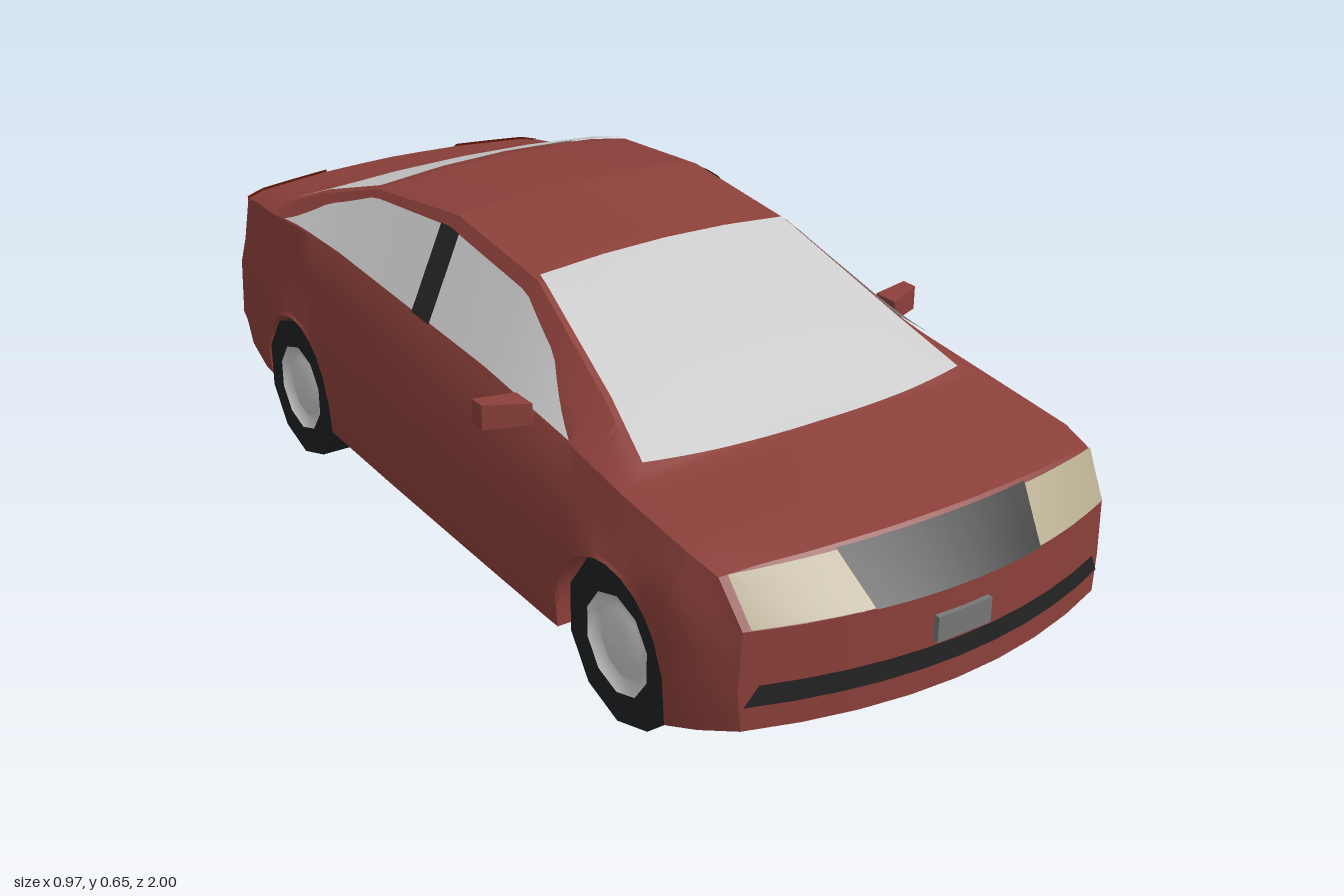
import * as THREE from 'three';
import { mergeGeometries, toCreasedNormals } from 'three/addons/utils/BufferGeometryUtils.js';

const { lerp, clamp } = THREE.MathUtils;
const paint = (color, extra = {}) => new THREE.MeshStandardMaterial({ color, ...extra });
const thin = { side: THREE.DoubleSide };

// Cross-section keys, front to back:
// z, underside y, body half-width, belt half-width, belt y, roof-edge half-width, roof-edge y, centre y
const KEYS = [
  [0.99, 0.12, 0.39, 0.385, 0.3, 0.3, 0.3, 0.3],
  [0.91, 0.105, 0.43, 0.395, 0.375, 0.33, 0.383, 0.39],
  [0.8, 0.088, 0.45, 0.405, 0.39, 0.35, 0.4, 0.408],
  [0.61, 0.11, 0.453, 0.405, 0.41, 0.36, 0.42, 0.43],
  [0.45, 0.11, 0.455, 0.4, 0.43, 0.325, 0.487, 0.505],
  [0.16, 0.11, 0.452, 0.395, 0.45, 0.28, 0.6, 0.615],
  [-0.13, 0.11, 0.448, 0.395, 0.465, 0.275, 0.633, 0.65],
  [-0.42, 0.11, 0.442, 0.39, 0.48, 0.295, 0.605, 0.625],
  [-0.6, 0.12, 0.437, 0.39, 0.485, 0.33, 0.55, 0.565],
  [-0.75, 0.125, 0.43, 0.388, 0.475, 0.36, 0.49, 0.5],
  [-0.87, 0.14, 0.415, 0.375, 0.465, 0.34, 0.478, 0.487],
  [-0.94, 0.165, 0.4, 0.37, 0.455, 0.33, 0.465, 0.475],
  [-0.958, 0.185, 0.398, 0.36, 0.43, 0.31, 0.44, 0.45],
  [-0.965, 0.19, 0.395, 0.385, 0.315, 0.33, 0.32, 0.325],
  [-0.99, 0.225, 0.375, 0.365, 0.305, 0.31, 0.305, 0.305],
];
const AXLES = [0.64, -0.56], ARCH = 0.155, WHEEL_R = 0.15;

// Piecewise-linear lookup in rows sorted by falling z
function lookup(rows, z) {
  let i = 0;
  while (i < rows.length - 2 && z < rows[i + 1][0]) i++;
  const a = rows[i], b = rows[i + 1];
  const t = clamp((z - a[0]) / (b[0] - a[0]), 0, 1);
  return a.map((v, k) => lerp(v, b[k], t));
}

// Rounds the nose and tail in plan
function bend(z, x) {
  const t = clamp((Math.abs(z) - 0.8) / 0.19, 0, 1);
  return z > 0 ? z - 0.5 * t * x * x : z + 0.3 * t * x * x;
}

// Half cross-section, from the centre of the underside to the centre of the top
function section(z) {
  let [, yb, w, bw, by, rw, ry, ty] = lookup(KEYS, z);
  for (const c of AXLES) {
    const d = Math.abs(z - c);
    if (d <= ARCH + 1e-6) yb = WHEEL_R + Math.sqrt(Math.max(0, ARCH * ARCH - d * d));
  }
  return [[0, yb], [w - 0.006, yb], [w, Math.max(yb + 0.002, 0.19)],
    [w * 0.988, Math.min(0.31, by - 0.01)], [bw, by], [rw, ry],
    [rw / 2, lerp(ry, ty, 0.75)], [0, ty]];
}

// Point on the body skin: v runs 0 (underside) to 7 (top centre)
function skin(z, v, side = 1, dx = 0, dy = 0, dz = 0) {
  const s = section(z), i = Math.min(6, Math.floor(v)), t = v - i;
  const x = lerp(s[i][0], s[i + 1][0], t), y = lerp(s[i][1], s[i + 1][1], t);
  return [side * (x + dx), y + dy, bend(z, x) + dz];
}

// Grid surface through f(i, j)
function grid(nu, nv, f) {
  const pos = [], idx = [], row = nv + 1;
  for (let i = 0; i <= nu; i++) for (let j = 0; j <= nv; j++) pos.push(...f(i, j));
  for (let i = 0; i < nu; i++) for (let j = 0; j < nv; j++) {
    const a = i * row + j, b = a + row;
    idx.push(a, b, a + 1, b, b + 1, a + 1);
  }
  const g = new THREE.BufferGeometry();
  g.setAttribute('position', new THREE.Float32BufferAttribute(pos, 3));
  g.setIndex(idx);
  g.computeVertexNormals();
  return g;
}

function bodyGeometry() {
  const zs = KEYS.map((k) => k[0]);
  for (let z = 0.42; z > -0.4; z -= 0.06) zs.push(z);
  for (const c of AXLES) {
    for (let i = 0; i <= 12; i++) zs.push(c + ARCH * Math.cos((i / 12) * Math.PI));
    zs.push(c + ARCH + 0.0002, c - ARCH - 0.0002);
  }
  zs.sort((a, b) => b - a);
  const shell = grid(zs.length - 1, 28, (i, j) => {
    const v = j / 2;
    return v <= 7 ? skin(zs[i], v) : skin(zs[i], 14 - v, -1);
  });
  const cap = (z, dir) => grid(8, 6, (i, j) => {
    const [x, y] = skin(z, 1 + j / 2), px = x * dir * (i / 4 - 1);
    return [px, y, bend(z, px)];
  });
  return toCreasedNormals(mergeGeometries([shell, cap(0.99, 1), cap(-0.99, -1)]), 0.5);
}

export function createModel() {
  const car = new THREE.Group();
  car.name = 'car';
  const red = paint(0x8c403a), glass = paint(0xcccccc, thin), black = paint(0x242424, thin);
  const lamp = paint(0xb3a98c, thin), tail = paint(0x8a2408, thin), plate = paint(0x777777);
  const add = (name, geo, mat, parent = car) => {
    const m = new THREE.Mesh(geo, mat);
    m.name = name;
    parent.add(m);
    return m;
  };

  add('body', bodyGeometry(), red);

  // Front and rear screens follow the skin between the roof edges
  const screen = (name, z0, bow0, z1, bow1) => add(name, grid(16, 20, (i, j) => {
    const s = j / 10 - 1;
    const z = lerp(z0 + bow0 * s * s, z1 + bow1 * s * s, i / 16);
    return skin(z, 7 - 1.94 * Math.abs(s), Math.sign(s) || 1, 0, 0.006);
  }), glass);
  screen('windscreen', 0.62, -0.035, 0.155, 0);
  screen('rearWindow', -0.425, 0, -0.745, 0.015);

  // Upper edge of the side glass, as a share of the belt-to-roof height
  const WINDOW = [[0.45, 0.06], [0.3, 0.72], [0.16, 0.85], [-0.13, 0.87],
    [-0.4, 0.88], [-0.55, 0.72], [-0.67, 0.06]];
  for (const side of [1, -1]) {
    const tag = side > 0 ? 'left' : 'right';
    add(tag + 'SideWindow', grid(40, 4, (i, j) => {
      const z = lerp(0.45, -0.67, i / 40);
      return skin(z, 4 + lerp(0.05, lookup(WINDOW, z)[1], j / 4), side, 0.005, 0.004);
    }), glass);
    add(tag + 'DoorPillar', grid(2, 4, (i, j) =>
      skin(lerp(-0.035, -0.088, j / 4) - 0.033 * i, 4 + lerp(0.04, 0.88, j / 4), side, 0.009, 0.006)), black);
    add(tag + 'TailLight', grid(8, 2, (i, j) =>
      skin(lerp(-0.936, -0.959, j / 2), lerp(4.05, 6, i / 8), side, 0.002, 0.004, -0.005)), tail);
  }

  // Panels on the nose: x runs between edges that may lean, y between two heights
  const nosePanel = (name, mat, y0, y1, l0, r0, l1, r1, lift = 0.007) => add(name, grid(10, 4, (i, j) => {
    const y = lerp(y0, y1, j / 4);
    const x = lerp(lerp(l0, l1, j / 4), lerp(r0, r1, j / 4), i / 10);
    const z = y < 0.3 ? 0.99 : lerp(0.99, 0.91, (y - 0.3) / 0.085);
    return [x, y + (y < 0.3 ? 0 : 0.003), bend(z, x) + lift];
  }), mat);
  nosePanel('grille', black, 0.3, 0.383, -0.175, 0.175, -0.2, 0.2);
  nosePanel('leftHeadlight', lamp, 0.302, 0.38, 0.175, 0.28, 0.2, 0.385);
  nosePanel('rightHeadlight', lamp, 0.302, 0.38, -0.28, -0.175, -0.385, -0.2);
  nosePanel('leftHeadlightCorner', lamp, 0.302, 0.38, 0.28, 0.375, 0.36, 0.386, 0.0065);
  nosePanel('rightHeadlightCorner', lamp, 0.302, 0.38, -0.375, -0.28, -0.386, -0.36, 0.0065);
  nosePanel('lowerIntake', black, 0.165, 0.203, -0.383, 0.383, -0.36, 0.36, 0.004);

  // Number plates
  add('frontPlate', new THREE.BoxGeometry(0.114, 0.047, 0.012), plate).position.set(0, 0.233, 0.992);
  add('rearPlate', new THREE.BoxGeometry(0.114, 0.045, 0.014), plate).position.set(0, 0.272, -0.992);

  // Door mirrors, tapering towards the door
  for (const side of [1, -1]) {
    const mirror = new THREE.Group();
    mirror.name = side > 0 ? 'leftMirror' : 'rightMirror';
    const shell = new THREE.BoxGeometry(0.08, 0.047, 0.055);
    const p = shell.attributes.position;
    for (let i = 0; i < p.count; i++) {
      if (p.getX(i) * side < 0) p.setY(i, p.getY(i) * 0.85);
      else if (p.getZ(i) > 0) p.setZ(i, 0.005);
      if (p.getX(i) * side > 0) p.setZ(i, p.getZ(i) - 0.012);
    }
    shell.computeVertexNormals();
    add('mirrorShell', shell, red, mirror).position.set(side * 0.445, 0.443, 0.315);
    add('mirrorStalk', new THREE.BoxGeometry(0.045, 0.02, 0.03), red, mirror).position.set(side * 0.395, 0.435, 0.32);
    const face = add('mirrorGlass', new THREE.PlaneGeometry(0.068, 0.034), glass, mirror);
    face.position.set(side * 0.445, 0.443, 0.279);
    face.rotation.y = Math.PI + side * 0.149;
    car.add(mirror);
  }

  // Wheels: ten-sided tyre with a dished rim
  const lathe = (pts, n) => new THREE.LatheGeometry(pts.map((q) => new THREE.Vector2(...q)), n, Math.PI / 2);
  const tyreGeo = lathe([[0, -0.05], [WHEEL_R, -0.05], [WHEEL_R, 0.05], [0.09, 0.05], [0.085, 0.03], [0, 0.03]], 10);
  const rimGeo = lathe([[0.092, 0.052], [0.075, 0.036], [0.062, 0.042], [0.035, 0.05], [0, 0.053]], 10);
  const rubber = paint(0x1f2022, { flatShading: true }), metal = paint(0xcccccc);
  for (const z of AXLES) for (const side of [1, -1]) {
    const wheel = new THREE.Group();
    wheel.name = (z > 0 ? 'front' : 'rear') + (side > 0 ? 'Left' : 'Right') + 'Wheel';
    add('tyre', tyreGeo, rubber, wheel);
    add('rim', rimGeo, metal, wheel);
    wheel.rotation.z = -side * Math.PI / 2;
    wheel.position.set(side * 0.38, WHEEL_R, z);
    car.add(wheel);
  }
  return car;
}
